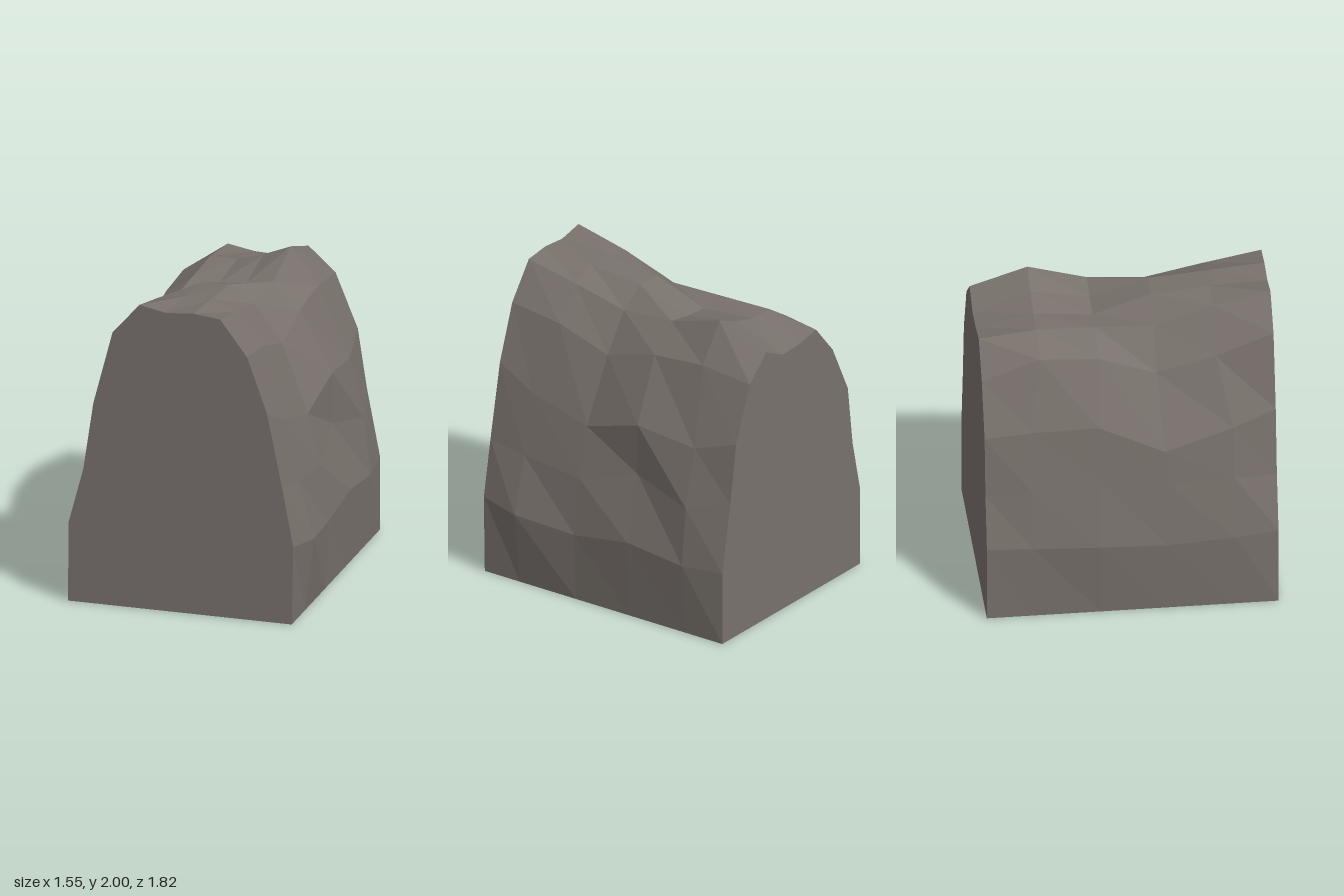
import * as THREE from 'three';

// Stations run front (+z) to back (-z); flanks are slightly jittered in depth.
const TOP_Z = [0.91, 0.55, 0.18, -0.18, -0.55, -0.91];
const SIDE_Z = [0.91, 0.64, 0.21, -0.2, -0.62, -0.91];

// Flank rows from the ground up: x and y at each station.
const rightFlank = [
  { x: [-0.74, -0.74, -0.74, -0.74, -0.74, -0.74], y: [0, 0, 0, 0, 0, 0] },
  { x: [-0.735, -0.755, -0.765, -0.775, -0.75, -0.74], y: [0.52, 0.5, 0.48, 0.5, 0.5, 0.51] },
  { x: [-0.64, -0.69, -0.71, -0.69, -0.69, -0.66], y: [0.88, 0.9, 0.9, 0.95, 0.88, 0.855] },
  { x: [-0.575, -0.635, -0.68, -0.64, -0.62, -0.61], y: [1.32, 1.24, 1.12, 1.3, 1.28, 1.25] },
];
const leftFlank = [
  { x: [0.555, 0.58, 0.6, 0.63, 0.61, 0.57], y: [1.37, 1.24, 1.14, 1.27, 1.22, 1.31] },
  { x: [0.655, 0.67, 0.68, 0.63, 0.7, 0.63], y: [0.88, 0.85, 0.81, 0.935, 0.84, 0.92] },
  { x: [0.725, 0.775, 0.735, 0.745, 0.745, 0.715], y: [0.51, 0.48, 0.445, 0.51, 0.465, 0.48] },
  { x: [0.715, 0.715, 0.715, 0.715, 0.715, 0.715], y: [0, 0, 0, 0, 0, 0] },
];
// Crest columns: constant x, height at each station.
const crest = [
  { x: -0.45, y: [1.8, 1.66, 1.56, 1.69, 1.71, 1.575] },
  { x: -0.275, y: [2.0, 1.92, 1.8, 1.81, 1.82, 1.777] },
  { x: -0.1, y: [1.965, 1.95, 1.915, 1.79, 1.82, 1.746] },
  { x: 0.075, y: [1.98, 1.95, 1.92, 1.805, 1.87, 1.74] },
  { x: 0.25, y: [1.96, 1.89, 1.81, 1.835, 1.94, 1.82] },
  { x: 0.425, y: [1.73, 1.685, 1.57, 1.67, 1.7, 1.665] },
];

// One arch-shaped cross-section, from the right foot over the crest to the left foot.
function section(k) {
  const flank = (row) => [row.x[k], row.y[k], SIDE_Z[k]];
  return [
    ...rightFlank.map(flank),
    ...crest.map((c) => [c.x, c.y[k], TOP_Z[k]]),
    ...leftFlank.map(flank),
  ];
}

function toMesh(name, triangles, material) {
  const geometry = new THREE.BufferGeometry();
  geometry.setAttribute('position', new THREE.Float32BufferAttribute(triangles.flat(), 3));
  geometry.computeVertexNormals();
  const mesh = new THREE.Mesh(geometry, material);
  mesh.name = name;
  return mesh;
}

// Flat end wall as a fan from the middle of the ground edge.
function endWall(points, front) {
  const centre = [0, 0, points[0][2]];
  const triangles = [];
  for (let i = 0; i < points.length - 1; i++) {
    const [a, b] = front ? [points[i + 1], points[i]] : [points[i], points[i + 1]];
    triangles.push(centre, a, b);
  }
  return triangles;
}

export function createModel() {
  const stone = new THREE.MeshStandardMaterial({
    color: 0x78716c, flatShading: true, side: THREE.DoubleSide,
  });
  stone.name = 'stone';

  const sections = TOP_Z.map((_, k) => section(k));

  // Rough faceted shell joining neighbouring sections; the underside stays open.
  const shell = [];
  for (let k = 0; k < sections.length - 1; k++) {
    const near = sections[k], far = sections[k + 1];
    for (let i = 0; i < near.length - 1; i++) {
      shell.push(near[i], near[i + 1], far[i + 1], near[i], far[i + 1], far[i]);
    }
  }

  const group = new THREE.Group();
  group.name = 'rockBlock';
  group.add(
    toMesh('rockShell', shell, stone),
    toMesh('frontWall', endWall(sections[0], true), stone),
    toMesh('backWall', endWall(sections[sections.length - 1], false), stone),
  );
  return group;
}
